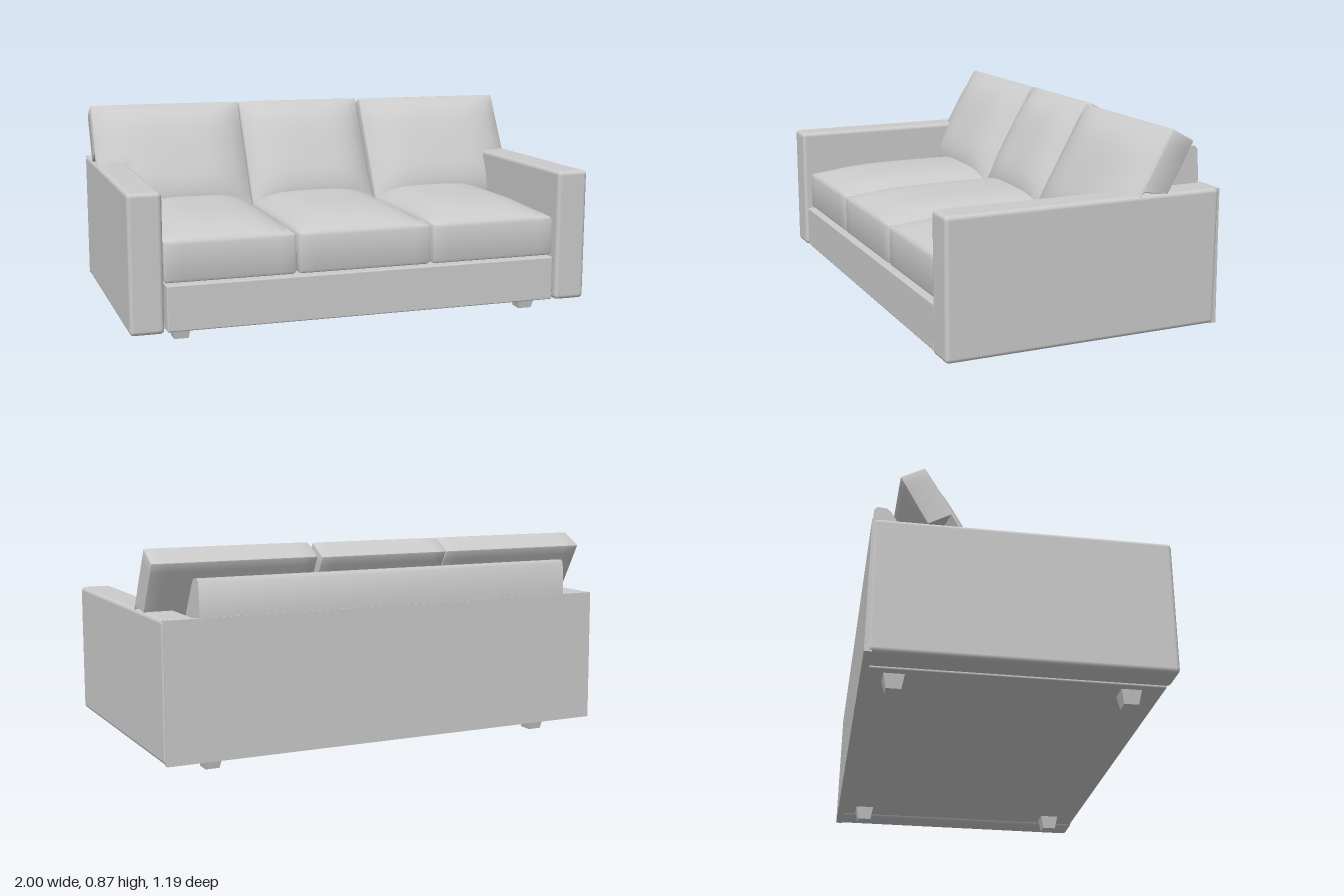
import * as THREE from 'three';
import { toCreasedNormals } from 'three/addons/utils/BufferGeometryUtils.js';
import { RoundedBoxGeometry } from 'three/addons/geometries/RoundedBoxGeometry.js';

const material = new THREE.MeshStandardMaterial({ color: 0xcccccc, side: THREE.DoubleSide });

function add(parent, name, geometry, x = 0, y = 0, z = 0) {
  const mesh = new THREE.Mesh(geometry, material);
  mesh.name = name;
  mesh.position.set(x, y, z);
  parent.add(mesh);
  return mesh;
}

// Rounded block given by its extents
function block(parent, name, [x0, x1], [y0, y1], [z0, z1], r) {
  const g = new RoundedBoxGeometry(x1 - x0, y1 - y0, z1 - z0, 2, r);
  return add(parent, name, g, (x0 + x1) / 2, (y0 + y1) / 2, (z0 + z1) / 2);
}

function moveVertices(geometry, rule) {
  const p = geometry.attributes.position;
  const v = new THREE.Vector3();
  for (let i = 0; i < p.count; i++) {
    v.fromBufferAttribute(p, i);
    rule(v);
    p.setXYZ(i, v.x, v.y, v.z);
  }
  return geometry;
}

// Subdivided box with softened edges, so its faces can be domed
function softBox(size, segments, r) {
  const g = new THREE.BoxGeometry(...size, ...segments);
  const inner = new THREE.Vector3();
  return moveVertices(g, (v) => {
    ['x', 'y', 'z'].forEach((a, i) => {
      const half = size[i] / 2;
      if (Math.abs(v[a]) < half - 1e-5) v[a] *= (half - r) / half / (1 - 2 / segments[i]);
      inner[a] = THREE.MathUtils.clamp(v[a], r - half, half - r);
    });
    v.sub(inner).normalize().multiplyScalar(r).add(inner);
  });
}

const dome = (u, v) => Math.max(0, 1 - u ** 4) * Math.max(0, 1 - v ** 4);

// Seat cushion with a crowned top
function seatCushion(parent, x0, x1) {
  const w = x1 - x0, h = 0.17, d = 0.985;
  const g = moveVertices(softBox([w, h, d], [12, 3, 14], 0.015), (v) => {
    if (v.y > 0) v.y += 0.06 * dome((2 * v.x) / w, (2 * v.z) / d);
  });
  add(parent, 'seatCushion', toCreasedNormals(g, 0.6), (x0 + x1) / 2, 0.335, 0.0725);
}

// Leaning back cushion with a full front; the outer ones reach over the arms
function backCushion(parent, x0, x1, z) {
  const w = x1 - x0, h = 0.54, d = 0.11, lean = Math.atan(0.55);
  const centre = new THREE.Vector3((x0 + x1) / 2, 0.612, z);
  const axis = new THREE.Vector3(1, 0, 0);
  const g = moveVertices(softBox([w, h, d], [14, 16, 3], 0.006), (v) => {
    if (v.z > d / 2 - 0.004) v.z += 0.065 * dome((2 * v.x) / w, (2 * v.y) / h);
    v.applyAxisAngle(axis, -lean).add(centre);
    // Cut away the part that would run into an arm
    if (v.y < 0.6) v.x = THREE.MathUtils.clamp(v.x, -0.86, 0.86);
  });
  add(parent, 'backCushion', toCreasedNormals(g, 0.6));
}

export function createModel() {
  const sofa = new THREE.Group();
  sofa.name = 'sofa';

  // Arms
  for (const [name, s] of [['leftArm', 1], ['rightArm', -1]]) {
    const xs = s > 0 ? [0.862, 1] : [-1, -0.862];
    block(sofa, name, xs, [0.055, 0.622], [-0.585, 0.597], 0.018);
  }

  // Base box and its front rail
  block(sofa, 'base', [-0.85, 0.85], [0.058, 0.247], [-0.575, 0.587], 0.006);

  // Backrest: wedge profile (z, y) swept across the width
  const profile = new THREE.Shape([
    [-0.4, 0.2], [-0.4, 0.57], [-0.43, 0.62], [-0.505, 0.75], [-0.525, 0.767],
    [-0.562, 0.769], [-0.574, 0.755], [-0.584, 0.62], [-0.584, 0.2],
  ].map(([z, y]) => new THREE.Vector2(z, y)));
  const wedge = new THREE.ExtrudeGeometry(profile, { depth: 1.7, bevelEnabled: false });
  wedge.translate(0, 0, -0.85).rotateY(-Math.PI / 2);
  add(sofa, 'backrest', toCreasedNormals(wedge, 0.7));

  // Rear panel across the full width, slightly deeper at the foot
  const panel = new THREE.BoxGeometry(1.99, 0.565, 0.02);
  moveVertices(panel, (v) => { if (v.y < 0 && v.z < 0) v.z -= 0.009; });
  add(sofa, 'rearPanel', toCreasedNormals(panel, 0.5), 0, 0.3375, -0.578);

  // Cushions
  const seats = [[-0.858, -0.307], [-0.3, 0.284], [0.291, 0.858]];
  for (const [x0, x1] of seats) seatCushion(sofa, x0, x1);
  backCushion(sofa, -0.997, -0.305, -0.308);
  backCushion(sofa, -0.301, 0.285, -0.312);
  backCushion(sofa, 0.289, 0.997, -0.28);

  // Tapered feet
  for (const x of [-0.775, 0.775]) {
    for (const z of [-0.47, 0.455]) {
      const foot = new THREE.CylinderGeometry(0.06, 0.042, 0.065, 4, 1).rotateY(Math.PI / 4);
      add(sofa, 'foot', toCreasedNormals(foot, 0.5), x, 0.0325, z);
    }
  }
  return sofa;
}
